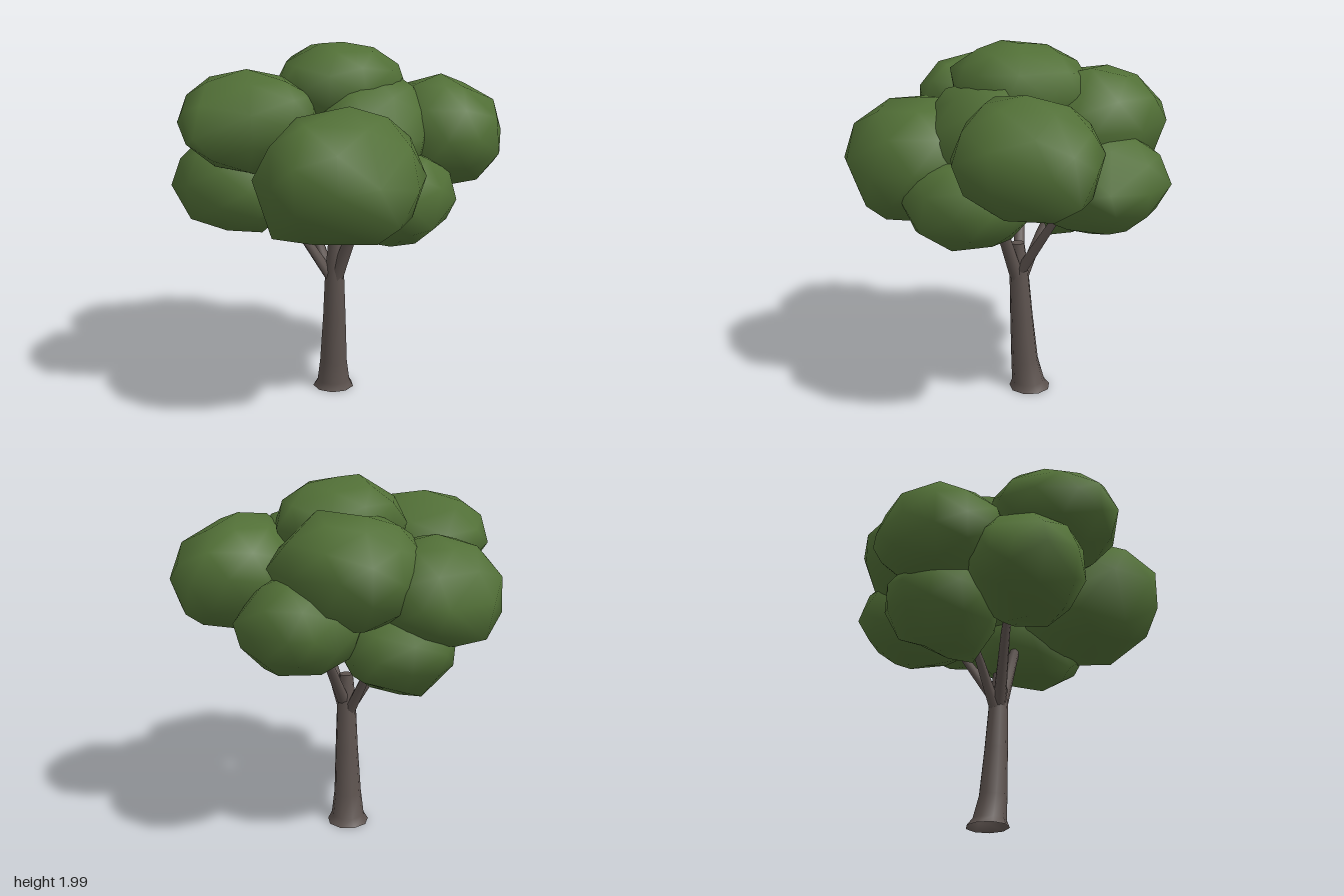
import * as THREE from 'three';
import { mergeVertices } from 'three/addons/utils/BufferGeometryUtils.js';

// Small seeded generator for the uneven foliage
function seeded(seed) {
  let s = seed * 7919 + 17;
  return () => {
    s = (s * 16807) % 2147483647;
    return s / 2147483647;
  };
}

// Low-poly leaf clump: an icosphere fitted to [min, max] on each axis,
// then pulled out to a few corner points
function leafClump(seed, [x0, x1], [y0, y1], [z0, z1], corners) {
  const random = seeded(seed);
  let g = new THREE.IcosahedronGeometry(1, 1);
  g.deleteAttribute('uv');
  g.deleteAttribute('normal');
  g = mergeVertices(g, 1e-3);
  g.rotateY(random() * 6.28);
  g.scale((x1 - x0) / 2, (y1 - y0) / 2, (z1 - z0) / 2);
  g.translate((x0 + x1) / 2, (y0 + y1) / 2, (z0 + z1) / 2);

  const p = g.attributes.position;
  const points = Array.from({ length: p.count }, (_, i) => new THREE.Vector3().fromBufferAttribute(p, i));
  for (const corner of corners) {
    const target = new THREE.Vector3(...corner);
    const nearest = points.reduce((a, b) => (b.distanceTo(target) < a.distanceTo(target) ? b : a)).clone();
    const pull = target.sub(nearest);
    for (const v of points) {
      const d = v.distanceTo(nearest) / 0.16;
      v.addScaledVector(pull, Math.exp(-d * d));
    }
  }
  points.forEach((v, i) => p.setXYZ(i, v.x, v.y, v.z));
  g.computeVertexNormals();
  return g;
}

// Loft of round rings, each [x, y, z, radius], open below with a flat top
function limb(rings, sides) {
  const pos = [];
  const index = [];
  const ring = ([x, y, z, r]) => {
    for (let k = 0; k < sides; k++) {
      const a = (k / sides) * Math.PI * 2;
      pos.push(x + r * Math.sin(a), y, z + r * Math.cos(a));
    }
  };
  rings.forEach(ring);
  for (let j = 0; j < rings.length - 1; j++) {
    for (let k = 0; k < sides; k++) {
      const a = j * sides + k;
      const b = j * sides + ((k + 1) % sides);
      index.push(a, b, b + sides, a, b + sides, a + sides);
    }
  }
  // The cap has its own vertices so the rim stays sharp
  const top = rings[rings.length - 1];
  const c = pos.length / 3;
  pos.push(top[0], top[1], top[2]);
  ring(top);
  for (let k = 0; k < sides; k++) index.push(c, c + 1 + k, c + 1 + ((k + 1) % sides));
  const g = new THREE.BufferGeometry();
  g.setAttribute('position', new THREE.Float32BufferAttribute(pos, 3));
  g.setIndex(index);
  g.computeVertexNormals();
  return g;
}

export function createModel() {
  const tree = new THREE.Group();
  tree.name = 'tree';
  const bark = new THREE.MeshStandardMaterial({ color: 0x5d534f, side: THREE.DoubleSide });
  bark.name = 'bark';
  const leaves = new THREE.MeshStandardMaterial({ color: 0x527037 });
  leaves.name = 'leaves';

  const add = (name, geometry, material) => {
    const mesh = new THREE.Mesh(geometry, material);
    mesh.name = name;
    tree.add(mesh);
  };

  // Leaning trunk with a flared foot
  add('trunk', limb([
    [0.025, 0.01, -0.06, 0.118],
    [0.032, 0.05, -0.055, 0.094],
    [0.045, 0.18, -0.04, 0.078],
    [0.06, 0.45, -0.03, 0.065],
    [0.07, 0.72, -0.02, 0.054],
    [0.075, 0.89, -0.015, 0.038],
  ], 9), bark);

  // Branches reaching into the crown
  const branches = {
    branchLeft: [[0.08, 0.68, -0.02, 0.042], [0.23, 1.06, -0.03, 0.032], [0.33, 1.3, -0.03, 0.02]],
    branchBack: [[0.075, 0.72, -0.03, 0.038], [0.02, 1.05, -0.24, 0.026], [-0.02, 1.22, -0.36, 0.018]],
    branchFront: [[0.06, 0.68, -0.01, 0.038], [-0.1, 1.03, 0.15, 0.026], [-0.19, 1.22, 0.25, 0.018]],
    branchRight: [[0.06, 0.65, -0.02, 0.036], [-0.09, 0.92, -0.03, 0.026], [-0.22, 1.12, -0.04, 0.018]],
  };
  for (const [name, rings] of Object.entries(branches)) add(name, limb(rings, 7), bark);

  // Crown clumps: name, x range, y range, z range, corner points
  let seed = 2;
  const clump = (name, x, y, z, corners) => add(name, leafClump(++seed, x, y, z, corners), leaves);

  clump('crownTop', [-0.28, 0.43], [1.5, 1.99], [-0.42, 0.32], [
    [-0.28, 1.9, -0.04], [0.42, 1.87, -0.08], [0.08, 1.88, 0.31], [0.08, 1.89, -0.42],
    [0.08, 2, 0.1], [0.2, 1.97, -0.18], [0.3, 1.86, 0.27]]);
  clump('crownUpperBackRight', [-0.61, 0.18], [1.26, 1.88], [-0.7, 0.11], [
    [-0.44, 1.6, -0.62], [-0.61, 1.58, -0.36], [-0.24, 1.65, 0.1], [0.1, 1.6, -0.6],
    [-0.32, 1.87, -0.3], [-0.16, 1.6, -0.7], [-0.08, 1.89, -0.4], [-0.04, 1.36, -0.55]]);
  clump('crownLowerBack', [-0.38, 0.24], [1.03, 1.6], [-0.84, -0.18], [
    [-0.04, 1.34, -0.85], [0.17, 1.33, -0.77], [-0.26, 1.32, -0.81], [-0.06, 1.08, -0.69],
    [-0.06, 1.03, -0.48], [0.08, 1.06, -0.3]]);
  clump('crownBackLeft', [0.08, 0.81], [1.2, 1.82], [-0.86, -0.1], [
    [0.4, 1.53, -0.87], [0.64, 1.53, -0.81], [0.81, 1.52, -0.33], [0.6, 1.77, -0.45],
    [0.45, 1.76, -0.66], [0.45, 1.34, -0.84], [0.45, 1.79, -0.24], [0.2, 1.55, -0.76]]);
  clump('crownRight', [-0.86, -0.16], [1.18, 1.76], [-0.32, 0.37], [
    [-0.87, 1.28, 0.0], [-0.82, 1.62, 0.0], [-0.69, 1.45, -0.31], [-0.7, 1.42, 0.34],
    [-0.43, 1.45, 0.37], [-0.5, 1.2, 0.05], [-0.78, 1.45, -0.21]]);
  clump('crownLowerFrontRight', [-0.59, 0.07], [1.0, 1.58], [0.05, 0.72], [
    [-0.57, 1.42, 0.38], [-0.48, 1.11, 0.38], [-0.07, 1.01, 0.4], [-0.27, 1.09, 0.71],
    [-0.48, 1.25, 0.68], [-0.27, 1.0, 0.25], [0.05, 1.2, 0.4], [-0.6, 1.24, 0.4]]);
  clump('crownFront', [-0.45, 0.29], [1.35, 1.89], [0.1, 0.84], [
    [-0.45, 1.71, 0.45], [-0.04, 1.58, 0.86], [0.17, 1.84, 0.45], [0.04, 1.34, 0.48],
    [-0.08, 1.73, 0.8], [-0.34, 1.82, 0.42], [0.29, 1.63, 0.52], [-0.43, 1.53, 0.44],
    [-0.22, 1.42, 0.5]]);
  clump('crownFrontLeft', [0.05, 0.86], [1.04, 1.73], [-0.1, 0.79], [
    [0.87, 1.38, 0.25], [0.83, 1.19, 0.35], [0.7, 1.08, 0.35], [0.84, 1.4, 0.49],
    [0.41, 1.4, 0.79], [0.46, 1.67, 0.61], [0.42, 1.72, 0.25], [0.18, 1.4, 0.7],
    [0.04, 1.25, 0.38], [0.3, 1.1, 0.68]]);
  clump('crownLowerLeft', [0.16, 0.79], [0.97, 1.49], [-0.41, 0.23], [
    [0.78, 1.1, -0.05], [0.63, 0.97, -0.08], [0.41, 0.98, -0.05], [0.48, 1.02, 0.2],
    [0.48, 1.02, -0.25], [0.48, 1.42, -0.26], [0.75, 1.25, 0.17]]);
  clump('crownLowerRight', [-0.68, -0.05], [0.9, 1.42], [-0.42, 0.24], [
    [-0.65, 1.08, -0.08], [-0.51, 0.91, -0.08], [-0.12, 0.9, -0.06], [-0.36, 1.03, -0.41],
    [-0.36, 0.95, -0.2]]);
  clump('crownUpperLeft', [-0.02, 0.62], [1.22, 1.83], [-0.4, 0.32], [
    [0.61, 1.55, -0.12], [0.61, 1.55, 0.1], [0.34, 1.83, -0.02], [0.34, 1.82, -0.23],
    [0.4, 1.77, 0.2], [0.5, 1.75, 0.0]]);

  return tree;
}
